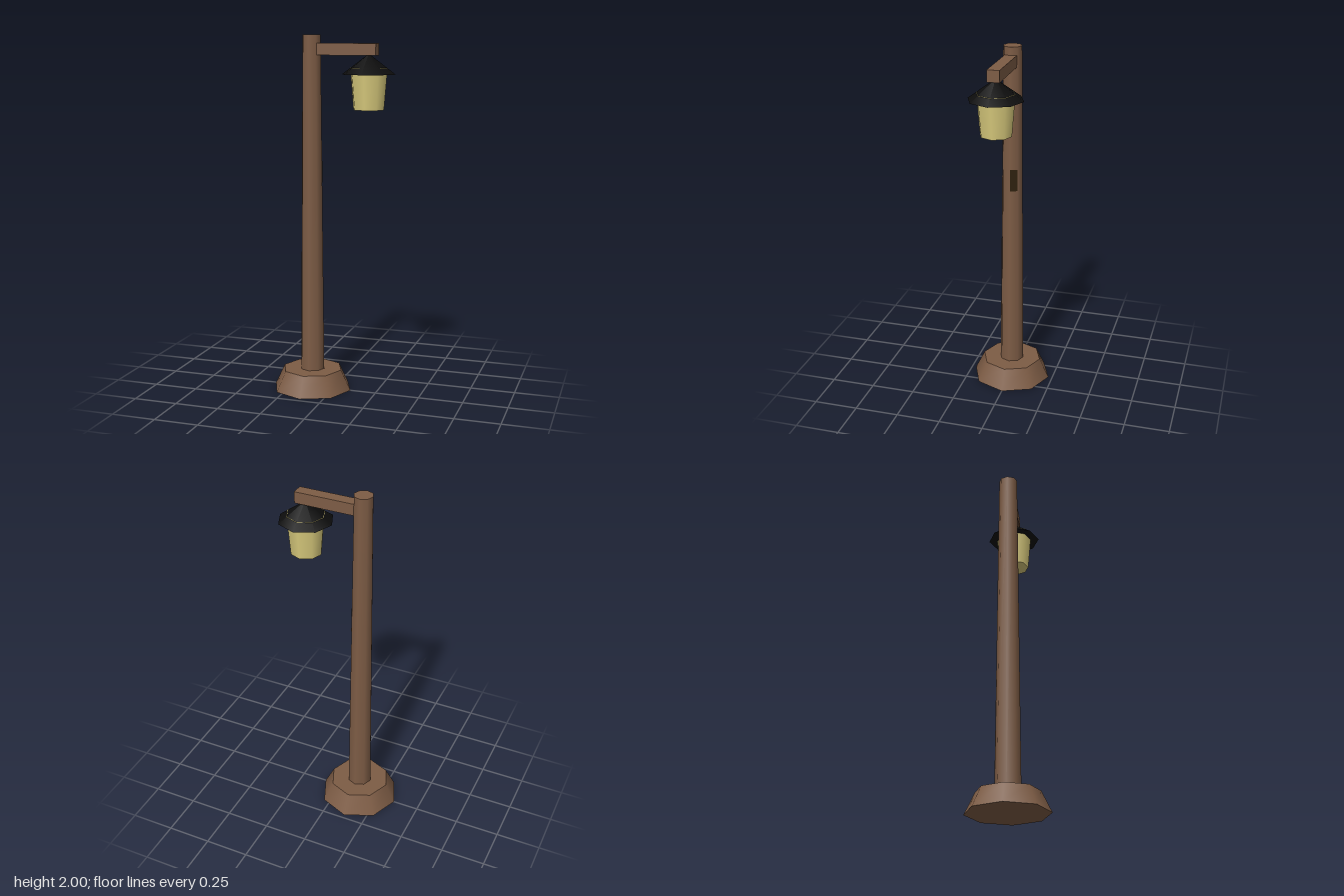
import * as THREE from 'three';

export function createModel() {
  const group = new THREE.Group();
  const material = (name, color) => {
    const m = new THREE.MeshStandardMaterial({ color });
    m.name = name;
    return m;
  };
  const wood = material('brown wood', 0x7d5c45);
  const black = material('black metal', 0x0d0d0d);
  const glow = material('pale yellow glass', 0xd8ca7c);
  const stain = material('dark stain', 0x2e210d);

  const add = (name, geometry, mat, x, y, z = 0) => {
    const mesh = new THREE.Mesh(geometry, mat);
    mesh.name = name;
    mesh.position.set(x, y, z);
    group.add(mesh);
    return mesh;
  };
  // Eight-sided tapered part standing between two heights
  const taper = (name, mat, x, y0, y1, r0, r1) =>
    add(name, new THREE.CylinderGeometry(r1, r0, y1 - y0, 8), mat, x, (y0 + y1) / 2);

  const poleX = -0.125, lampX = 0.2;

  // Foot and post
  taper('base', wood, poleX, 0, 0.115, 0.227, 0.171);
  taper('pole', wood, poleX, 0.1, 2, 0.07, 0.052);

  // Arm reaching out over the lantern
  add('arm', new THREE.BoxGeometry(0.347, 0.064, 0.066), wood, 0.0735, 1.923);

  // Lantern, its rim just showing through the shade
  taper('lantern', glow, lampX, 1.6, 1.825, 0.086, 0.1045);
  add('shade', new THREE.ConeGeometry(0.15, 0.11, 8), black, lampX, 1.845);

  // Dark patch lying on one face of the pole
  const angle = Math.PI * 5 / 8, reach = 0.0552;
  const patch = add('polePatch', new THREE.BoxGeometry(0.042, 0.125, 0.002), stain,
    poleX + Math.sin(angle) * reach, 1.255, Math.cos(angle) * reach);
  patch.rotation.set(-0.009, angle, 0, 'YXZ');

  return group;
}
